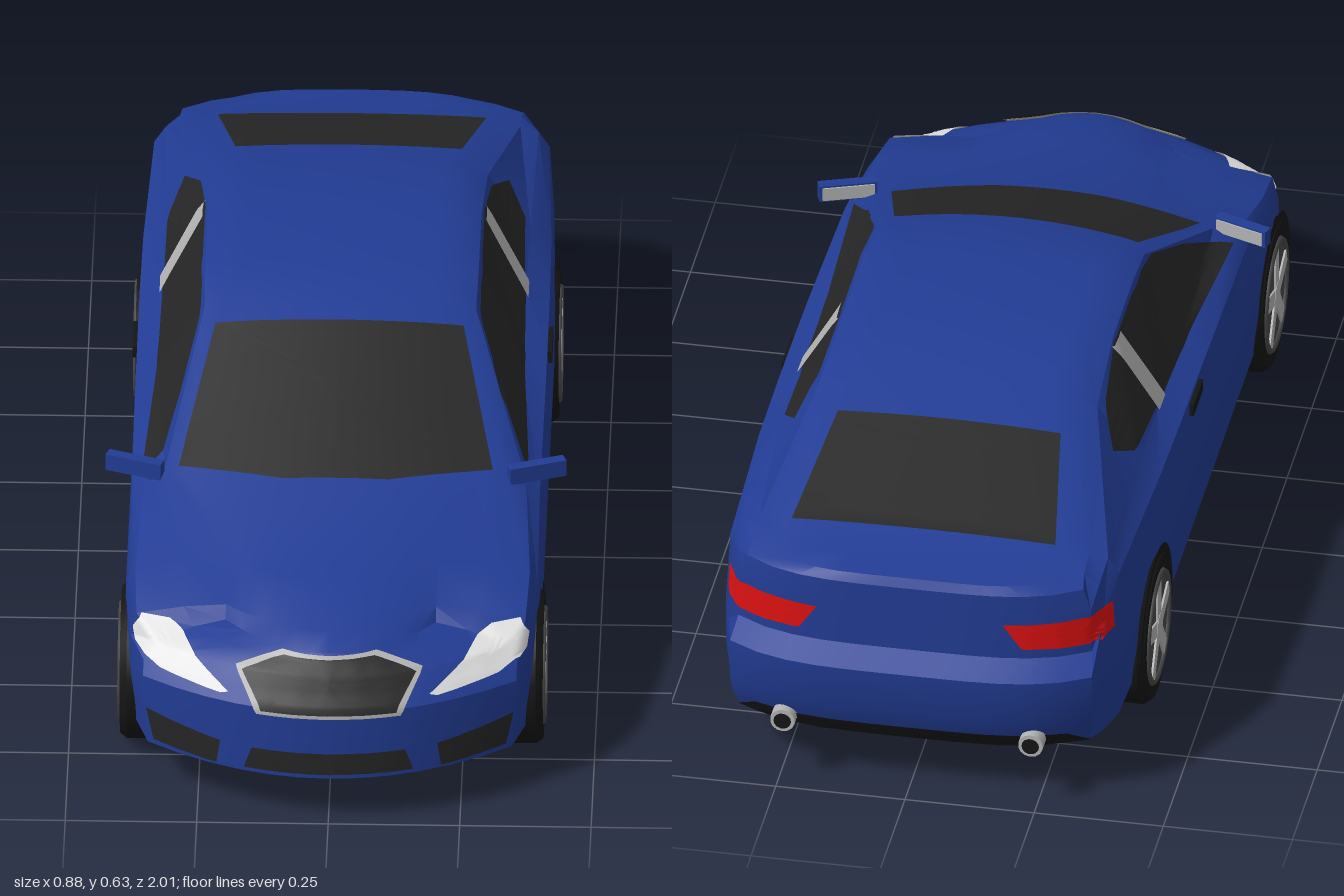
import * as THREE from 'three';
import { toCreasedNormals } from 'three/addons/utils/BufferGeometryUtils.js';

const mat = (name, color) => Object.assign(new THREE.MeshStandardMaterial({ color }), { name });
const V = (x, y, z) => new THREE.Vector3(x, y, z);

// Body stations, front to back:
// z, bow, side width, then width and height of shoulder, belt, roof edge, roof rim, and centre height
const STATIONS = [
  [1.0, 0.13, 0.355, 0.355, 0.27, 0.335, 0.3, 0.26, 0.32, 0.2, 0.33, 0.335],
  [0.88, 0.1, 0.383, 0.382, 0.285, 0.37, 0.33, 0.28, 0.346, 0.2, 0.352, 0.356],
  [0.74, 0.08, 0.395, 0.39, 0.335, 0.375, 0.36, 0.29, 0.376, 0.2, 0.383, 0.387],
  [0.48, 0.06, 0.395, 0.388, 0.395, 0.362, 0.42, 0.325, 0.436, 0.29, 0.441, 0.445],
  [0.1, 0.03, 0.395, 0.39, 0.415, 0.348, 0.435, 0.258, 0.588, 0.22, 0.603, 0.611],
  [-0.05, 0, 0.395, 0.39, 0.42, 0.345, 0.44, 0.26, 0.606, 0.215, 0.623, 0.629],
  [-0.25, 0, 0.395, 0.39, 0.425, 0.345, 0.448, 0.26, 0.606, 0.215, 0.625, 0.632],
  [-0.45, 0, 0.395, 0.388, 0.43, 0.348, 0.462, 0.267, 0.575, 0.22, 0.598, 0.607],
  [-0.8, 0, 0.385, 0.376, 0.43, 0.355, 0.462, 0.32, 0.474, 0.27, 0.484, 0.49],
  [-0.89, -0.03, 0.368, 0.358, 0.37, 0.348, 0.435, 0.32, 0.461, 0.27, 0.468, 0.473],
  [-0.955, -0.06, 0.35, 0.342, 0.31, 0.34, 0.4, 0.325, 0.447, 0.28, 0.458, 0.464],
];
// Slope of the nose and tail faces, by level from sill to top
const NOSE = [0, 0, 0, -0.02, -0.04, -0.06, -0.07];
const TAIL = [0, -0.04, -0.045, 0, 0, 0, 0.01];

// Reshapes a gridded box so its rows follow the body stations
function bodyGeometry() {
  const last = STATIONS.length - 1;
  const g = new THREE.BoxGeometry(2, 2, 2, 12, 6, last);
  const p = g.attributes.position;
  for (let i = 0; i < p.count; i++) {
    const a = p.getX(i);
    const level = Math.round((p.getY(i) + 1) * 3);
    const j = Math.round((1 - p.getZ(i)) / 2 * last);
    const [z0, bow, side, ...upper] = STATIONS[j];
    const sill = z0 < -0.7 ? 0.115 : 0.1;
    const low = [[side * 0.975, sill], [side, 0.19], [side, Math.min(0.28, upper[1] - 0.025)]];
    let [w, y] = level < 3 ? low[level] : upper.slice((level - 3) * 2, (level - 3) * 2 + 2);
    if (level === 6) y += (upper[8] - y) * (1 - a * a);
    let z = z0 - bow * Math.abs(a) ** (bow > 0 ? 2 : 4);
    if (j === 0) z += NOSE[level];
    if (j === last) z += TAIL[level];
    p.setXYZ(i, a * w, y, z);
  }
  return toCreasedNormals(g, 0.5);
}

export function createModel() {
  const car = new THREE.Group();
  car.name = 'car';
  const paint = mat('blue paint', 0x223c94);
  const glass = mat('dark glass', 0x262626);
  const black = mat('black', 0x151515);
  const silver = mat('silver', 0xb4b4b4);
  const lamp = mat('lamp white', 0xe2e2e2);
  const red = mat('lamp red', 0xdd1111);
  const darkRim = mat('dark rim', 0x484848);
  for (const m of [glass, lamp, red, silver]) m.side = THREE.DoubleSide;

  const add = (name, geometry, material, parent = car, x = 0, y = 0, z = 0) => {
    const m = new THREE.Mesh(geometry, material);
    m.name = name;
    m.position.set(x, y, z);
    parent.add(m);
    return m;
  };

  // Body shell with a black underside
  const body = add('body', bodyGeometry(), [paint, paint, paint, black, paint, paint]);

  // Lays a thin polygon onto the body, seen along a direction
  const caster = new THREE.Raycaster();
  function panel(name, material, points, direction, lift = 0.004) {
    const dir = V(...direction).normalize();
    let pts = points.map((q) => V(...q));
    const centre = pts.reduce((s, q) => s.add(q), V(0, 0, 0)).divideScalar(pts.length);
    const area = V(0, 0, 0);
    pts.forEach((q, i) => area.add(q.clone().sub(centre).cross(pts[(i + 1) % pts.length].clone().sub(centre))));
    if (area.dot(dir) < 0) pts.reverse();
    const steps = 8, rings = 8, n = pts.length * steps;
    const pos = [], index = [];
    const drop = (q) => {
      for (let k = 0; k < 40; k++) {
        caster.set(q.clone().addScaledVector(dir, 3), dir.clone().negate());
        const hit = caster.intersectObject(body)[0];
        if (hit) {
          pos.push(...hit.point.addScaledVector(hit.face.normal, lift).toArray());
          return;
        }
        q.lerp(centre, 0.04);
      }
      pos.push(...q.toArray());
    };
    drop(centre.clone());
    for (let r = 1; r <= rings; r++) {
      for (let i = 0; i < n; i++) {
        const k = Math.floor(i / steps);
        const edge = pts[k].clone().lerp(pts[(k + 1) % pts.length], (i % steps) / steps);
        drop(centre.clone().lerp(edge, r / rings));
        const o = 1 + (r - 1) * n, b = (i + 1) % n;
        if (r === 1) index.push(0, 1 + i, 1 + b);
        else index.push(o - n + i, o + i, o + b, o - n + i, o + b, o - n + b);
      }
    }
    const g = new THREE.BufferGeometry();
    g.setAttribute('position', new THREE.Float32BufferAttribute(pos, 3));
    g.setIndex(index);
    g.computeVertexNormals();
    add(name, g, material);
  }
  // Symmetric outline from its +x half
  const whole = (half) => [...half, ...half.map(([x, y, z]) => [-x, y, z]).reverse()];
  const front = (half) => whole(half.map(([x, y]) => [x, y, 1]));

  // Windscreen and rear window
  panel('windscreen', glass, whole([[0.08, 0.59, 0.13], [0.235, 0.588, 0.125], [0.298, 0.438, 0.42], [0.1, 0.44, 0.468]]), [0, 1, 0.5]);
  panel('rearWindow', glass, whole([[0.215, 0.57, -0.55], [0.255, 0.485, -0.81]]), [0, 1, 0]);

  // Grille, its surround and the lower intake
  panel('grilleSurround', silver, front([[0.088, 0.331], [0.177, 0.302], [0.136, 0.232]]), [0, 0, 1]);
  panel('grille', glass, front([[0.084, 0.324], [0.164, 0.298], [0.127, 0.242]]), [0, 0, 1], 0.008);
  panel('lowerIntake', glass, front([[0.145, 0.156], [0.16, 0.11]]), [0, 0, 1]);
  panel('rearDiffuser', black, whole([[0.3, 0.15, -1], [0.34, 0.117, -1]]), [0, 0, -1]);

  // Tyre profile, from the inner side to the outer side
  const tyre = toCreasedNormals(new THREE.LatheGeometry([[0, -0.055], [0.138, -0.055], [0.15, -0.045], [0.15, 0.042],
    [0.14, 0.055], [0.116, 0.055], [0.112, 0.036], [0, 0.036]].map(([r, y]) => new THREE.Vector2(r, y)), 24), 0.5);
  const spoke = new THREE.BoxGeometry(0.014, 0.09, 0.032);
  spoke.translate(0, 0.06, 0);

  for (const s of [1, -1]) {
    const side = s > 0 ? 'left' : 'right';
    const mir = (pts) => pts.map(([x, y, z]) => [x * s, y, z]);
    const flank = (pts) => pts.map(([z, y]) => [0.3 * s, y, z]);

    // Side glass with its bright pillar
    panel(side + 'SideWindow', glass, flank([[0.4, 0.418], [0.25, 0.503], [0.096, 0.574], [0, 0.594], [-0.1, 0.602],
      [-0.27, 0.602], [-0.42, 0.568], [-0.52, 0.52], [-0.45, 0.48], [-0.21, 0.452], [0, 0.438]]), [s, 0, 0]);
    panel(side + 'Pillar', silver, flank([[-0.23, 0.602], [-0.29, 0.6], [-0.26, 0.452], [-0.2, 0.45]]), [s, 0, 0], 0.009);
    add(side + 'DoorHandle', new THREE.BoxGeometry(0.022, 0.024, 0.095), black, car, 0.388 * s, 0.4, -0.117);

    // Lamps and fog recesses
    panel(side + 'Headlight', lamp, mir([[0.36, 0.331, 1], [0.305, 0.328, 1], [0.263, 0.305, 1], [0.19, 0.26, 1],
      [0.205, 0.256, 1], [0.32, 0.267, 1], [0.37, 0.284, 1], [0.374, 0.305, 1]]), [0, 0, 1]);
    panel(side + 'FogRecess', glass, mir([[0.347, 0.18, 1], [0.205, 0.158, 1], [0.212, 0.107, 1], [0.333, 0.114, 1]]), [0, 0, 1]);
    panel(side + 'TailLight', red, mir([[0.19, 0.385, -0.96], [0.33, 0.39, -0.92], [0.365, 0.388, -0.83],
      [0.365, 0.335, -0.83], [0.33, 0.33, -0.92], [0.23, 0.332, -0.96]]), [s, 0, -1]);

    // Door mirror on a short stem
    const mirror = new THREE.Group();
    mirror.name = side + 'Mirror';
    mirror.position.set(0.382 * s, 0.441, 0.417);
    mirror.rotation.y = 0.35 * s;
    car.add(mirror);
    add('mirrorHousing', new THREE.BoxGeometry(0.112, 0.034, 0.022), paint, mirror);
    add('mirrorGlass', new THREE.BoxGeometry(0.1, 0.027, 0.004), silver, mirror, 0, 0, -0.012);
    add('mirrorStem', new THREE.BoxGeometry(0.02, 0.03, 0.014), paint, mirror, -0.04 * s, -0.022, 0);

    // Exhaust tip
    const pipe = add(side + 'Exhaust', new THREE.CylinderGeometry(0.024, 0.024, 0.09, 14), silver, car, 0.24 * s, 0.14, -0.94);
    pipe.rotation.x = Math.PI / 2;
    const bore = add(side + 'ExhaustBore', new THREE.CircleGeometry(0.017, 14), black, car, 0.24 * s, 0.14, -0.987);
    bore.rotation.y = Math.PI;

    // Wheels and dark arches
    for (const [end, z] of [['Front', 0.65], ['Rear', -0.54]]) {
      const arch = add(side + end + 'Arch', new THREE.CircleGeometry(0.161, 28, -0.3, Math.PI + 0.6), black, car, 0.399 * s, 0.15, z);
      arch.rotation.y = s * Math.PI / 2;
      const wheel = new THREE.Group();
      wheel.name = side + end + 'Wheel';
      wheel.position.set(0.347 * s, 0.15, z);
      wheel.rotation.y = s > 0 ? 0 : Math.PI;
      car.add(wheel);
      add('tyre', tyre, black, wheel).rotation.z = -Math.PI / 2;
      // Rim face sits just proud of the arch disc
      add('rimDisc', new THREE.CylinderGeometry(0.112, 0.112, 0.01, 24), darkRim, wheel, 0.049).rotation.z = -Math.PI / 2;
      add('rimRing', new THREE.TorusGeometry(0.107, 0.007, 6, 24), darkRim, wheel, 0.054).rotation.y = Math.PI / 2;
      add('hub', new THREE.CylinderGeometry(0.028, 0.028, 0.016, 14), silver, wheel, 0.051).rotation.z = -Math.PI / 2;
      for (let k = 0; k < 5; k++) add('spoke', spoke, silver, wheel, 0.051).rotation.x = k * Math.PI * 0.4;
    }
  }
  return car;
}
